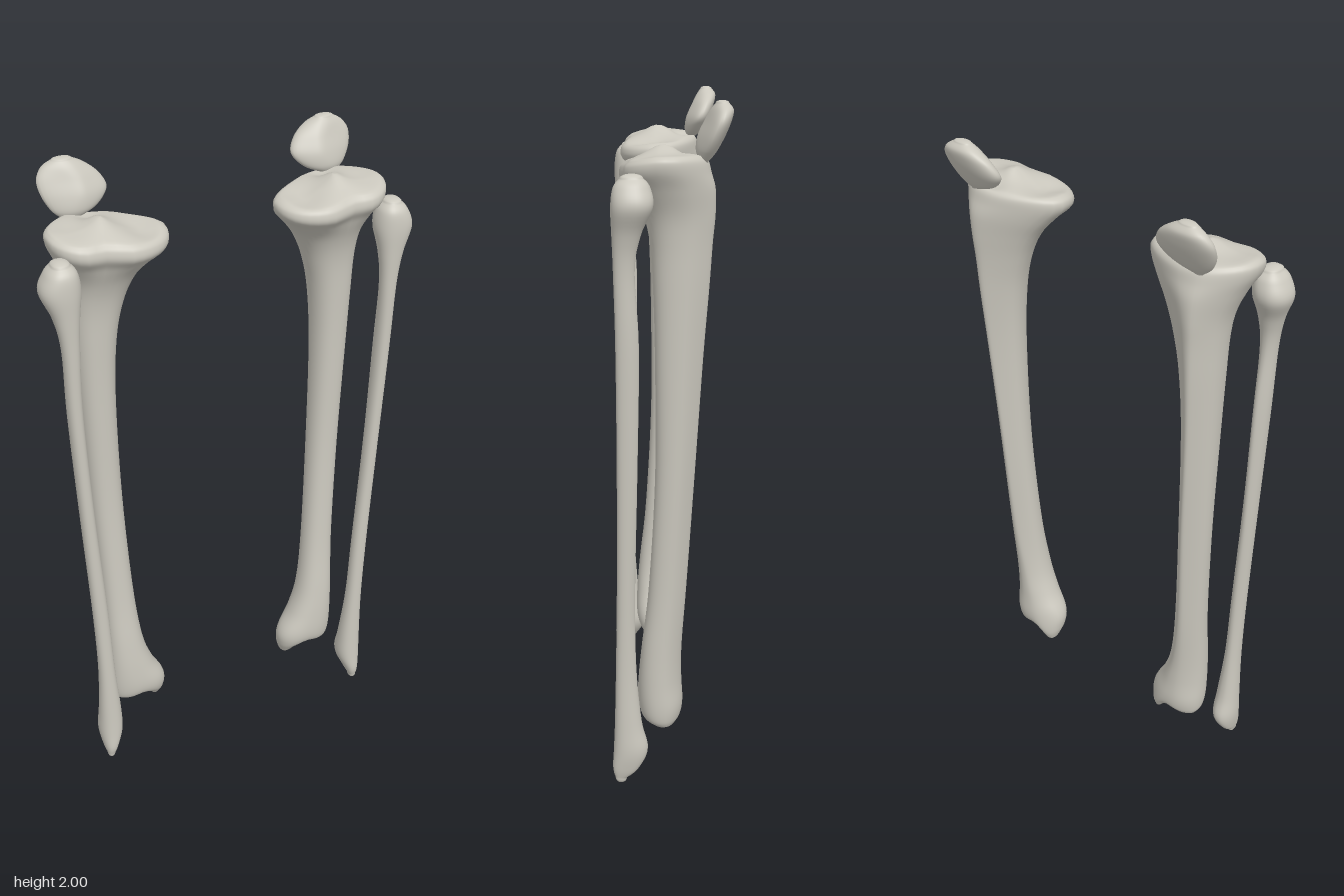
import * as THREE from 'three';

const SEG = 40, STEPS = 6;
const bone = new THREE.MeshStandardMaterial({ color: 0xcbc8be });
bone.name = 'bone';

const gauss = (d, w) => Math.exp(-(d * d) / (w * w));

// Catmull-Rom interpolation through rows of section values
function smoothRows(rows) {
  const out = [];
  for (let i = 0; i < rows.length - 1; i++) {
    const p0 = rows[Math.max(i - 1, 0)], p1 = rows[i], p2 = rows[i + 1], p3 = rows[Math.min(i + 2, rows.length - 1)];
    for (let s = 0; s < STEPS; s++) {
      const t = s / STEPS;
      out.push(p1.map((v, k) => 0.5 * (2 * v + (p2[k] - p0[k]) * t
        + (2 * p0[k] - 5 * v + 4 * p2[k] - p3[k]) * t * t
        + (3 * v - p0[k] - 3 * p2[k] + p3[k]) * t * t * t)));
    }
  }
  out.push(rows[rows.length - 1]);
  return out;
}

// Oval section pulled to a ridge: taper > 0 narrows the -z side, taper < 0 the +z side
function section([y, x0, x1, z0, z1, ridgeX, taper]) {
  const cx = (x0 + x1) / 2, cz = (z0 + z1) / 2, ring = [];
  for (let j = 0; j < SEG; j++) {
    const a = (j / SEG) * Math.PI * 2, c = Math.cos(a), s = Math.sin(a);
    const f = Math.pow(Math.max(0, taper > 0 ? -s : s), 1.3);
    const sq = (v) => Math.sign(v) * Math.pow(Math.abs(v), 0.85);
    ring.push(new THREE.Vector3(
      cx + (x1 - x0) / 2 * sq(c) * (1 - Math.abs(taper) * f) + (ridgeX - cx) * f,
      y, cz + (z1 - z0) / 2 * sq(s)));
  }
  return ring;
}

// Rings shrinking to the middle of an end section, bulging by dome
function capRings(ring, dome) {
  const mid = ring.reduce((m, p) => m.add(p), new THREE.Vector3()).divideScalar(SEG);
  return [0.97, 0.9, 0.78, 0.64, 0.5, 0.36, 0.22, 0.1, 0].map((k) => ring.map((p) => {
    const q = p.clone().lerp(mid, 1 - k);
    q.y += dome * Math.sqrt(1 - k * k);
    return q;
  }));
}

// Closed smooth solid through the rows, bottom to top; side = -1 mirrors it
function loft(rows, side, { bottom = 0.005, top = 0.005, warp } = {}) {
  const body = smoothRows(rows).map(section);
  const rings = [...capRings(body[0], -bottom).reverse(), ...body, ...capRings(body[body.length - 1], top)];
  const pos = [], idx = [];
  for (const ring of rings) for (const p of ring) {
    if (warp) warp(p);
    pos.push(p.x * side, p.y, p.z);
  }
  for (let i = 0; i < rings.length - 1; i++) for (let j = 0; j < SEG; j++) {
    const a = i * SEG + j, b = i * SEG + (j + 1) % SEG, c = b + SEG, d = a + SEG;
    if (side > 0) idx.push(a, d, c, a, c, b);
    else idx.push(a, c, d, a, b, c);
  }
  const geo = new THREE.BufferGeometry();
  geo.setAttribute('position', new THREE.Float32BufferAttribute(pos, 3));
  geo.setIndex(idx);
  geo.computeVertexNormals();
  return geo;
}

// Rows: y, xMin, xMax, zMin, zMax, ridgeX, taper
const SHIN = [
  [0.145, 0.235, 0.395, -0.030, 0.055, 0.31, 0.15],
  [0.165, 0.222, 0.405, -0.042, 0.080, 0.31, 0.15],
  [0.21, 0.222, 0.410, -0.046, 0.090, 0.32, 0.2],
  [0.29, 0.262, 0.410, -0.042, 0.088, 0.33, 0.3],
  [0.40, 0.292, 0.410, -0.042, 0.078, 0.345, 0.4],
  [0.60, 0.310, 0.412, -0.055, 0.056, 0.36, 0.55],
  [0.95, 0.323, 0.424, -0.077, 0.037, 0.37, 0.65],
  [1.30, 0.325, 0.436, -0.098, 0.037, 0.385, 0.65],
  [1.50, 0.312, 0.443, -0.113, 0.042, 0.39, 0.62],
  [1.62, 0.285, 0.448, -0.121, 0.050, 0.39, 0.6],
  [1.70, 0.250, 0.458, -0.128, 0.070, 0.39, 0.6],
  [1.765, 0.204, 0.482, -0.128, 0.105, 0.385, 0.55],
  [1.81, 0.170, 0.505, -0.117, 0.134, 0.375, 0.45],
  [1.838, 0.167, 0.509, -0.110, 0.134, 0.37, 0.42],
  [1.852, 0.185, 0.498, -0.100, 0.122, 0.37, 0.42],
];

const OUTER = [
  [0.018, 0.447, 0.472, 0.125, 0.160, 0.46, 0],
  [0.05, 0.432, 0.480, 0.090, 0.167, 0.46, 0.1],
  [0.11, 0.410, 0.487, 0.062, 0.164, 0.45, 0.2],
  [0.20, 0.412, 0.483, 0.080, 0.160, 0.45, 0.2],
  [0.38, 0.426, 0.478, 0.095, 0.155, 0.455, 0.3],
  [0.62, 0.436, 0.484, 0.097, 0.150, 0.46, 0.35],
  [1.00, 0.457, 0.500, 0.088, 0.146, 0.48, 0.35],
  [1.35, 0.470, 0.514, 0.082, 0.146, 0.49, 0.35],
  [1.56, 0.468, 0.518, 0.092, 0.150, 0.495, 0.25],
  [1.66, 0.460, 0.534, 0.075, 0.153, 0.50, 0.2],
  [1.735, 0.448, 0.562, 0.043, 0.155, 0.51, 0.15],
  [1.785, 0.455, 0.545, 0.050, 0.148, 0.50, 0.1],
  [1.808, 0.472, 0.525, 0.068, 0.130, 0.50, 0],
];

const CAP = [
  [1.842, 0.380, 0.420, -0.107, -0.085, 0.39, -0.2],
  [1.866, 0.320, 0.448, -0.128, -0.074, 0.375, -0.4],
  [1.905, 0.284, 0.470, -0.150, -0.078, 0.365, -0.65],
  [1.945, 0.300, 0.476, -0.166, -0.096, 0.37, -0.6],
  [1.975, 0.336, 0.458, -0.172, -0.112, 0.385, -0.4],
  [1.993, 0.370, 0.428, -0.160, -0.125, 0.395, -0.2],
];

// Notched back, dished joint face with a central spine, and inner ankle knob
function shapeShin(p) {
  const up = THREE.MathUtils.smoothstep(p.y, 1.68, 1.83);
  const face = THREE.MathUtils.smoothstep(p.y, 1.845, 1.86);
  const low = 1 - THREE.MathUtils.smoothstep(p.y, 0.13, 0.24);
  p.z -= up * 0.02 * gauss(p.x - 0.37, 0.045) * THREE.MathUtils.smoothstep(p.z, 0.04, 0.12);
  p.y += up * (0.07 * (p.x - 0.37) - 0.17 * Math.max(0, p.z - 0.03));
  p.y += face * (0.02 * gauss(p.x - 0.355, 0.03) * gauss(p.z - 0.01, 0.05)
    - 0.022 * gauss(p.x - 0.25, 0.05) * gauss(p.z - 0.03, 0.07)
    - 0.008 * gauss(p.x - 0.44, 0.04) * gauss(p.z - 0.02, 0.06)
    - 0.016 * gauss(p.x - 0.36, 0.035) * gauss(p.z + 0.06, 0.04));
  p.y -= low * 0.05 * gauss(p.x - 0.25, 0.03) * gauss(p.z - 0.005, 0.05);
  p.y += low * 0.012 * gauss(p.x - 0.31, 0.035);
}

export function createModel() {
  const model = new THREE.Group();
  model.name = 'lowerLegBones';
  for (const [side, label] of [[1, 'left'], [-1, 'right']]) {
    const leg = new THREE.Group();
    leg.name = label + 'LowerLeg';
    const add = (name, geo) => {
      const mesh = new THREE.Mesh(geo, bone);
      mesh.name = label + name;
      leg.add(mesh);
    };
    add('ShinBone', loft(SHIN, side, { bottom: 0.006, top: 0.012, warp: shapeShin }));
    add('CalfBone', loft(OUTER, side, { bottom: 0.018, top: 0.012 }));
    add('Kneecap', loft(CAP, side, { bottom: 0.007, top: 0.007 }));
    model.add(leg);
  }
  return model;
}
